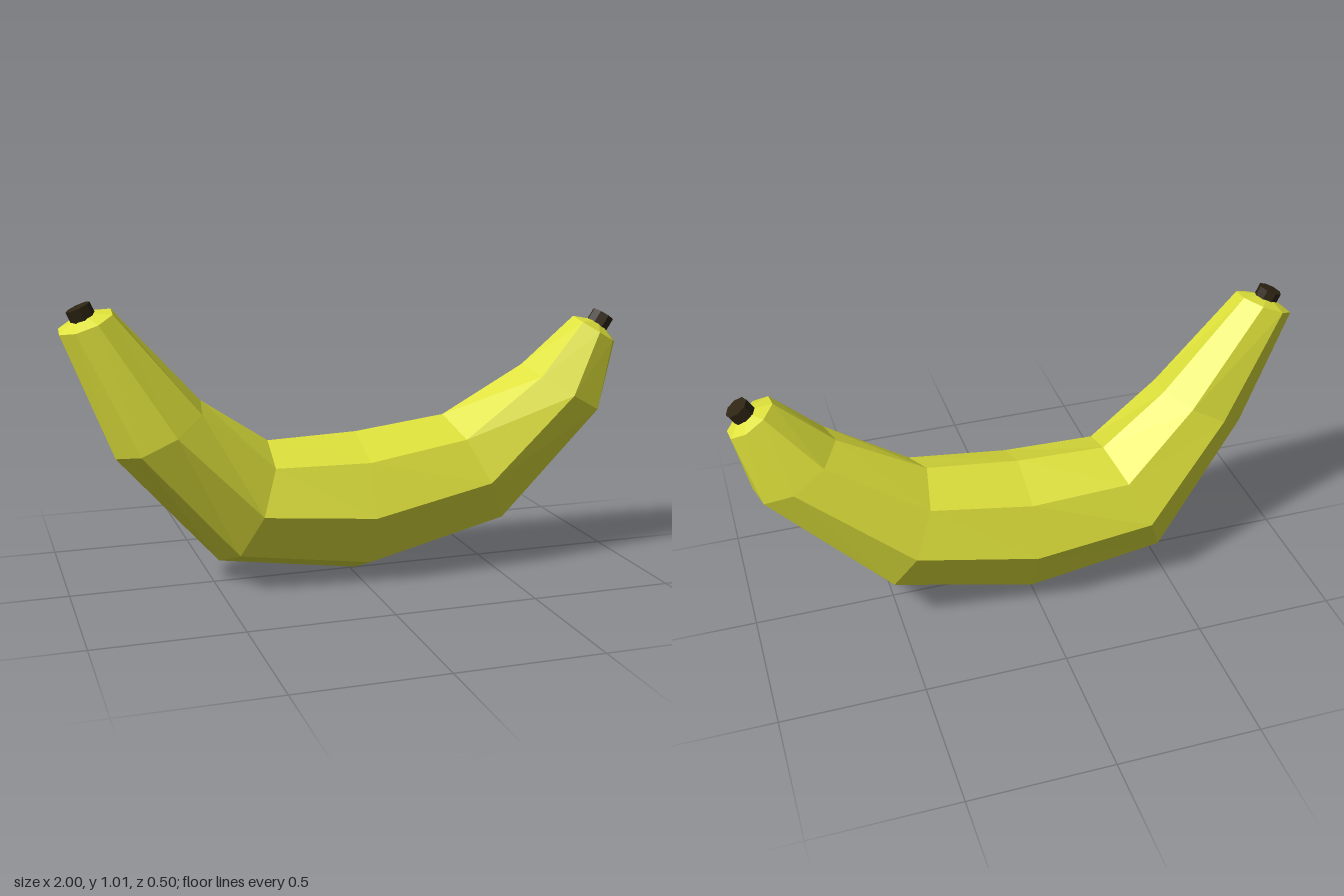
import * as THREE from 'three';

const V = (x, y, z) => new THREE.Vector3(x, y, z);
const SIDES = 8;

// Cross-sections from one end to the other: inner ridge, outer ridge, sideways half-width
const SECTIONS = [
  { inner: V(-0.83, 0.985, 0.06), outer: V(-1.0, 0.91, 0.09), side: V(0.03, 0, 0.094) },
  { inner: V(-0.54, 0.66, 0.04), outer: V(-0.84, 0.495, 0.11), side: V(0.035, 0, 0.165) },
  { inner: V(-0.30, 0.495, 0), outer: V(-0.48, 0.075, 0), side: V(0.02, 0, 0.228) },
  { inner: V(0.02, 0.505, 0), outer: V(0.02, 0, 0), side: V(0, 0, 0.248) },
  { inner: V(0.35, 0.545, 0), outer: V(0.55, 0.13, 0), side: V(0, 0, 0.23) },
  { inner: V(0.65, 0.715, 0.015), outer: V(0.94, 0.54, 0.065), side: V(-0.03, 0, 0.175) },
  { inner: V(0.84, 0.885, 0.035), outer: V(0.995, 0.79, 0.065), side: V(-0.025, 0, 0.095) },
];

const middle = (s) => s.inner.clone().add(s.outer).multiplyScalar(0.5);

function ring(s) {
  const c = middle(s);
  const up = s.inner.clone().sub(c);
  return Array.from({ length: SIDES }, (_, j) => {
    const a = (j / SIDES) * Math.PI * 2;
    return c.clone().addScaledVector(up, Math.cos(a)).addScaledVector(s.side, Math.sin(a));
  });
}

function skin(rings, startTip, endTip) {
  const pos = [];
  const tri = (...pts) => pts.forEach((p) => pos.push(p.x, p.y, p.z));
  const last = rings.length - 1;
  for (let j = 0; j < SIDES; j++) {
    const k = (j + 1) % SIDES;
    for (let i = 0; i < last; i++) {
      const [a, b, c, d] = [rings[i][j], rings[i][k], rings[i + 1][k], rings[i + 1][j]];
      tri(a, b, c);
      tri(a, c, d);
    }
    // shallow cones closing both ends
    tri(startTip, rings[0][k], rings[0][j]);
    tri(endTip, rings[last][j], rings[last][k]);
  }
  const geo = new THREE.BufferGeometry();
  geo.setAttribute('position', new THREE.Float32BufferAttribute(pos, 3));
  geo.computeVertexNormals();
  return geo;
}

// Short octagonal stub whose far end sits at tip
function stub(name, tip, axis, length, material) {
  const mesh = new THREE.Mesh(new THREE.CylinderGeometry(0.042, 0.042, length, SIDES), material);
  mesh.name = name;
  mesh.quaternion.setFromUnitVectors(V(0, 1, 0), axis);
  mesh.position.copy(tip).addScaledVector(axis, -length / 2);
  return mesh;
}

export function createModel() {
  const group = new THREE.Group();
  group.name = 'banana';
  const peel = new THREE.MeshStandardMaterial({ color: 0xdde03a, flatShading: true });
  const dark = new THREE.MeshStandardMaterial({ color: 0x2e2413, flatShading: true });

  // Curved faceted body
  const axisStart = V(-0.4, 0.915, 0).normalize();
  const axisEnd = V(0.54, 0.84, 0).normalize();
  const startTip = middle(SECTIONS[0]).addScaledVector(axisStart, 0.03);
  const endTip = middle(SECTIONS[SECTIONS.length - 1]).addScaledVector(axisEnd, 0.035);
  const body = new THREE.Mesh(skin(SECTIONS.map(ring), startTip, endTip), peel);
  body.name = 'peel';
  group.add(body);

  // Dark stubs at both ends
  group.add(stub('blossomTip', V(-0.937, 0.996, 0.075), axisStart, 0.06, dark));
  group.add(stub('stem', V(0.956, 0.888, 0.045), axisEnd, 0.07, dark));
  return group;
}
